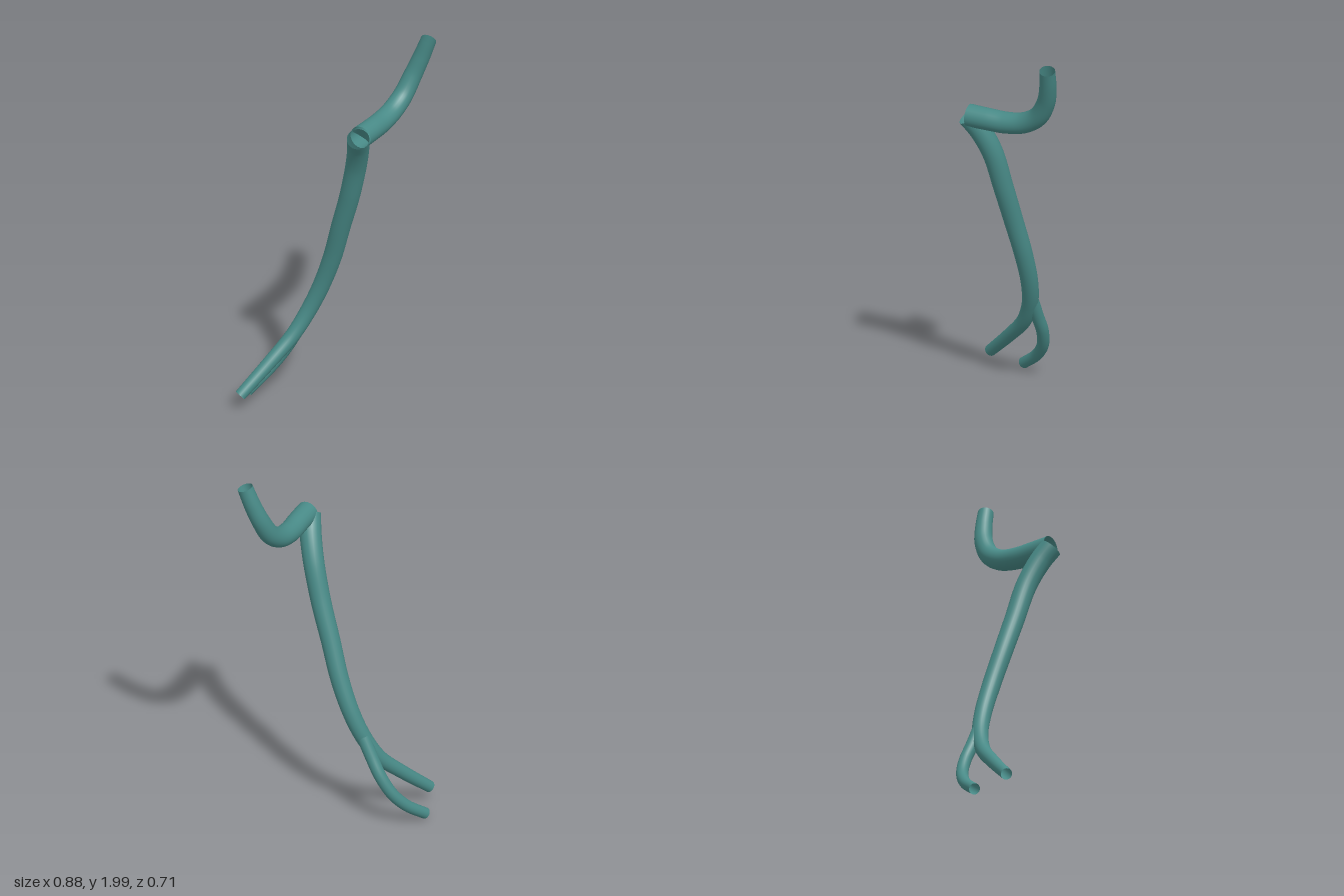
import * as THREE from 'three';

const teal = new THREE.MeshStandardMaterial({ color: 0x488a87, side: THREE.DoubleSide });
teal.name = 'teal';

// Open smooth tube along points [x, y, z], tapering through the listed radii
function vessel(name, points, radii, segments) {
  const sides = 24;
  const curve = new THREE.CatmullRomCurve3(points.map((p) => new THREE.Vector3(...p)));
  const geometry = new THREE.TubeGeometry(curve, segments, 1, sides, false);
  const position = geometry.attributes.position;
  const v = new THREE.Vector3();
  for (let i = 0; i <= segments; i++) {
    const centre = curve.getPointAt(i / segments);
    const f = (i / segments) * (radii.length - 1);
    const k = Math.min(Math.floor(f), radii.length - 2);
    const radius = THREE.MathUtils.lerp(radii[k], radii[k + 1], f - k);
    for (let j = 0; j <= sides; j++) {
      const n = i * (sides + 1) + j;
      v.fromBufferAttribute(position, n).sub(centre).multiplyScalar(radius).add(centre);
      position.setXYZ(n, v.x, v.y, v.z);
    }
  }
  const mesh = new THREE.Mesh(geometry, teal);
  mesh.name = name;
  return mesh;
}

export function createModel() {
  const group = new THREE.Group();
  group.name = 'branchingVessel';

  // Upper arm, rising to the left
  group.add(vessel('upperArm', [
    [-0.098, 1.615, 0.297], [0, 1.612, 0.27], [0.1, 1.61, 0.24], [0.2, 1.63, 0.217],
    [0.285, 1.685, 0.208], [0.345, 1.78, 0.217], [0.38, 1.88, 0.243], [0.402, 1.98, 0.273],
  ], [0.058, 0.056, 0.052, 0.046, 0.04], 64));

  // Long trunk, bending into the longer lower branch
  group.add(vessel('trunk', [
    [-0.108, 1.605, 0.29], [-0.068, 1.53, 0.25], [-0.03, 1.4, 0.196], [-0.014, 1.2, 0.133],
    [-0.008, 1, 0.063], [-0.002, 0.8, -0.005], [-0.018, 0.62, -0.07], [-0.058, 0.48, -0.119],
    [-0.13, 0.355, -0.156], [-0.26, 0.23, -0.193], [-0.422, 0.09, -0.234],
  ], [0.057, 0.053, 0.05, 0.047, 0.042, 0.036, 0.03], 96));

  // Short lower branch
  group.add(vessel('lowerBranch', [
    [-0.045, 0.5, -0.12], [-0.053, 0.4, -0.168], [-0.063, 0.3, -0.219],
    [-0.1, 0.2, -0.265], [-0.17, 0.115, -0.3], [-0.282, 0.032, -0.328],
  ], [0.034, 0.031, 0.029], 48));

  return group;
}
